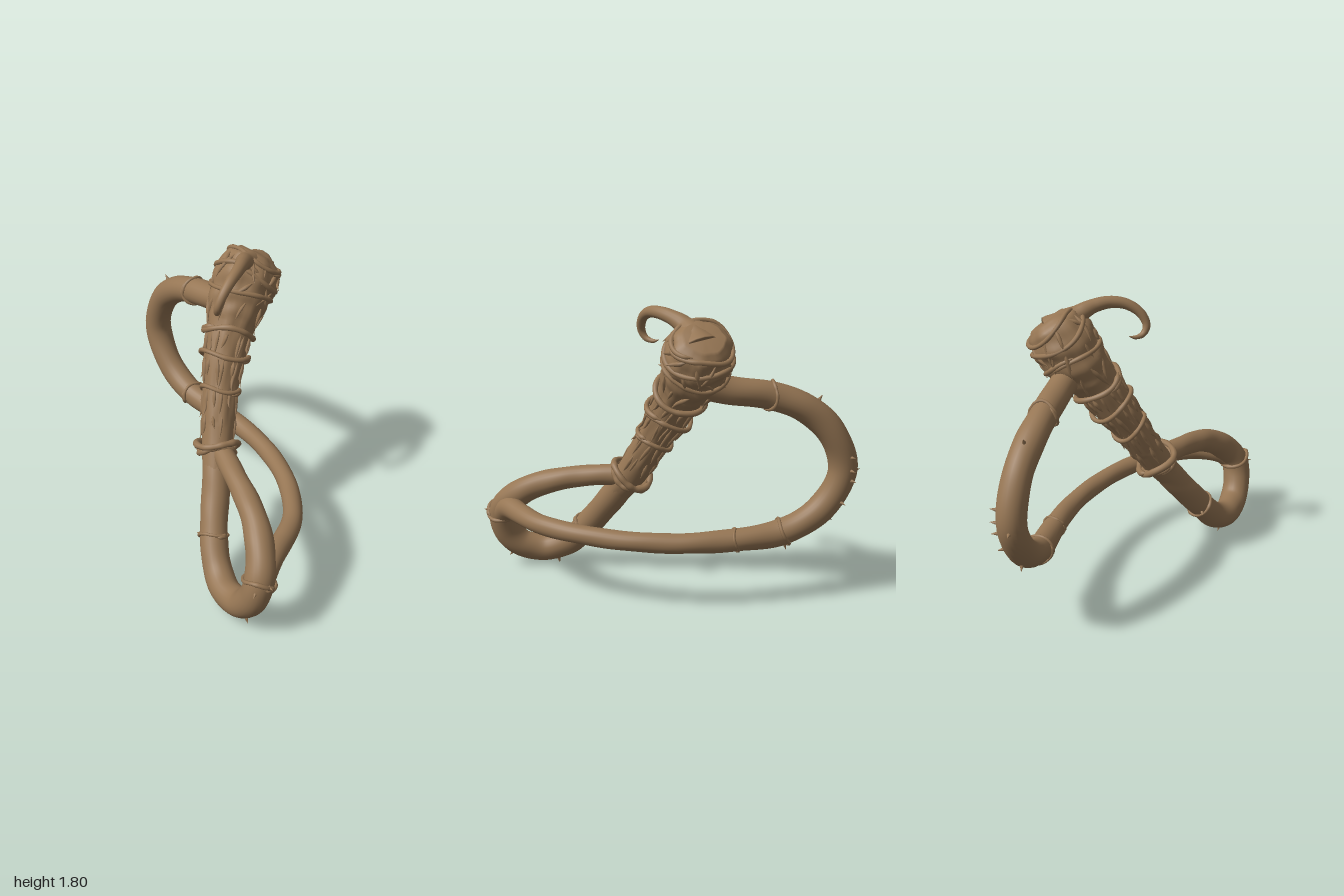
import * as THREE from 'three';

const V = (a) => new THREE.Vector3(a[0], a[1], a[2]);
let seed = 7;
const rnd = () => (seed = (seed * 16807) % 2147483647) / 2147483647;

// A path from [x, y, z, radius] points, sampled by arc length
function makePath(pts) {
  const curve = new THREE.CatmullRomCurve3(pts.map(V), false, 'centripetal');
  const radius = (u) => {
    const t = curve.getUtoTmapping(u) * (pts.length - 1);
    const i = Math.min(Math.floor(t), pts.length - 2), f = t - i;
    return THREE.MathUtils.lerp(pts[i][3], pts[i + 1][3], f * f * (3 - 2 * f) * 0.5 + f * 0.5);
  };
  const nearest = (p) => {
    let best = 0, bd = Infinity;
    for (let i = 0; i <= 200; i++) {
      const d = curve.getPointAt(i / 200).distanceToSquared(p);
      if (d < bd) { bd = d; best = i / 200; }
    }
    return best;
  };
  // Point on the skin at angle a, k times the radius out
  const skin = (u, a, k = 1) => {
    u = Math.min(Math.max(u, 0), 1);
    const t = curve.getTangentAt(u);
    const n = new THREE.Vector3(0, 0, 1).addScaledVector(t, -t.z).normalize();
    const b = t.clone().cross(n);
    return curve.getPointAt(u).addScaledVector(n, Math.cos(a) * radius(u) * k).addScaledVector(b, Math.sin(a) * radius(u) * k);
  };
  return { curve, radius, nearest, skin };
}

// Closed tube of varying radius, with an optional bump rule
function tubeGeometry(path, rings, sides, bump = () => 1) {
  const f = path.curve.computeFrenetFrames(rings, false);
  const pos = [], idx = [];
  for (let r = -1; r <= rings + 1; r++) {
    const i = Math.min(Math.max(r, 0), rings), u = i / rings;
    const c = path.curve.getPointAt(u);
    for (let j = 0; j < sides; j++) {
      const a = (j / sides) * Math.PI * 2;
      const rad = r === i ? path.radius(u) * bump(u, a) : 0.0005;
      const p = c.clone().addScaledVector(f.normals[i], Math.cos(a) * rad).addScaledVector(f.binormals[i], Math.sin(a) * rad);
      pos.push(p.x, p.y, p.z);
    }
  }
  for (let r = 0; r < rings + 2; r++) for (let j = 0; j < sides; j++) {
    const a = r * sides + j, b = r * sides + (j + 1) % sides;
    idx.push(a, b, a + sides, b, b + sides, a + sides);
  }
  const g = new THREE.BufferGeometry();
  g.setAttribute('position', new THREE.Float32BufferAttribute(pos, 3));
  g.setIndex(idx);
  g.computeVertexNormals();
  return g;
}

export function createModel() {
  const model = new THREE.Group();
  const bark = new THREE.MeshStandardMaterial({ color: 0x967654 });
  bark.name = 'bark brown';
  const add = (name, geo) => {
    const m = new THREE.Mesh(geo, bark);
    m.name = name;
    model.add(m);
    return m;
  };
  const strand = (name, pts, rings, sides) => add(name, tubeGeometry(makePath(pts), rings, sides));

  // Thick trunk with a swollen knob at the top
  const trunk = makePath([
    [-0.01, 1.67, -0.53, 0.11], [-0.015, 1.63, -0.5, 0.165], [-0.02, 1.55, -0.44, 0.195], [-0.02, 1.43, -0.36, 0.18],
    [0.01, 1.27, -0.24, 0.135], [0.04, 1.14, -0.16, 0.125], [0.09, 0.97, -0.06, 0.105],
    [0.19, 0.7, 0.09, 0.095], [0.29, 0.48, 0.23, 0.075]]);
  add('trunk', tubeGeometry(trunk, 110, 40, (u, a) =>
    1 + (u < 0.72 ? 0.025 : 0.008) * (Math.sin(a * 7 + u * 9) + 0.7 * Math.sin(a * 11 - u * 23) + (u < 0.3 ? Math.sin(u * 70 + 2 * Math.sin(a * 2)) : 0))));

  // Lower loop that returns to the trunk
  const loop = makePath([
    [0.19, 0.7, 0.09, 0.085], [0.29, 0.48, 0.23, 0.085], [0.39, 0.28, 0.37, 0.083], [0.49, 0.145, 0.46, 0.086], [0.62, 0.092, 0.54, 0.088],
    [0.77, 0.125, 0.585, 0.088], [0.86, 0.235, 0.6, 0.09], [0.885, 0.38, 0.575, 0.088], [0.81, 0.51, 0.48, 0.085],
    [0.67, 0.605, 0.37, 0.075], [0.45, 0.665, 0.24, 0.065], [0.22, 0.69, 0.1, 0.065]]);
  add('lowerLoop', tubeGeometry(loop, 130, 24, (u, a) => 1 + 0.015 * Math.sin(u * 60 + 2 * a)));

  // Long vine sweeping behind and back up to the knob
  const vine = makePath([
    [0.89, 0.36, 0.57, 0.075], [0.87, 0.43, 0.47, 0.075], [0.84, 0.445, 0.3, 0.063], [0.77, 0.44, 0.11, 0.06], [0.62, 0.435, -0.08, 0.058],
    [0.4, 0.425, -0.26, 0.058], [0.1, 0.415, -0.41, 0.06], [-0.22, 0.415, -0.49, 0.068], [-0.53, 0.435, -0.53, 0.08],
    [-0.76, 0.56, -0.57, 0.084], [-0.885, 0.8, -0.6, 0.086], [-0.81, 1.04, -0.58, 0.086], [-0.65, 1.195, -0.53, 0.086],
    [-0.46, 1.275, -0.48, 0.082], [-0.2, 1.325, -0.43, 0.082], [-0.02, 1.38, -0.38, 0.09]]);
  add('longVine', tubeGeometry(vine, 180, 24, (u, a) => 1 + 0.015 * Math.sin(u * 70 + 2 * a)));

  // Curled horn on the knob
  strand('curledHorn', [
    [0, 1.59, -0.47, 0.13], [0.01, 1.655, -0.41, 0.085], [0.035, 1.705, -0.34, 0.053], [0.08, 1.738, -0.26, 0.041], [0.12, 1.748, -0.17, 0.036],
    [0.142, 1.73, -0.08, 0.032], [0.148, 1.675, 0, 0.028], [0.14, 1.605, 0.035, 0.024],
    [0.12, 1.558, 0.018, 0.019], [0.09, 1.545, -0.025, 0.012], [0.07, 1.558, -0.06, 0.003]], 70, 16);

  // Overlapping twisted collars; the ends pass each other
  const collar = (name, path, at, k, thick, tilt = 0.012) => {
    const u = path.nearest(V(at)), s = rnd() * 6, pts = [];
    for (let i = 0; i <= 26; i++) {
      const a = s + (i / 26) * Math.PI * 2.3;
      const p = path.skin(u + tilt * Math.sin(a * 2 + s) + (i / 26 - 0.5) * tilt, a, k + 0.03 * Math.sin(a * 3));
      pts.push([p.x, p.y, p.z, i === 0 || i === 26 ? 0.002 : thick * (0.85 + 0.3 * rnd())]);
    }
    strand(name, pts, 80, 8);
  };
  collar('trunkCollar', trunk, [0.01, 1.27, -0.24], 1.12, 0.017);
  collar('trunkCollar', trunk, [0.04, 1.14, -0.16], 1.15, 0.015);
  collar('trunkCollar', trunk, [0.09, 0.97, -0.06], 1.08, 0.014);
  collar('forkCollar', trunk, [0.18, 0.69, 0.08], 1.32, 0.02);
  collar('forkCollar', trunk, [0.2, 0.67, 0.1], 1.15, 0.018);
  collar('knobFold', trunk, [-0.02, 1.47, -0.39], 1.02, 0.014);
  collar('knobFold', trunk, [-0.02, 1.56, -0.45], 1.0, 0.015, 0.02);
  collar('knobFold', trunk, [-0.015, 1.63, -0.5], 1.02, 0.014, 0.015);
  collar('loopCollar', loop, [0.39, 0.28, 0.37], 1.03, 0.011, 0.004);
  collar('loopCollar', loop, [0.885, 0.37, 0.58], 1.06, 0.013, 0.005);
  collar('vineCollar', vine, [-0.53, 0.435, -0.53], 1.03, 0.01, 0.004);
  collar('vineCollar', vine, [-0.23, 0.415, -0.49], 1.0, 0.008, 0.004);
  collar('vineCollar', vine, [-0.47, 1.275, -0.48], 1.04, 0.01, 0.004);

  // Ragged bark strips hanging down the trunk and knob
  const rows = [[0.04, 0.1, 11], [0.12, 0.09, 12], [0.22, 0.1, 10], [0.35, 0.1, 15], [0.46, 0.11, 15], [0.58, 0.1, 14], [0.69, 0.08, 9]];
  for (const [u0, len, count] of rows) for (let i = 0; i < count; i++) {
    const a = ((i + rnd() * 0.7) / count) * Math.PI * 2, l = len * (0.6 + 0.6 * rnd()), w = 0.009 + 0.006 * rnd();
    const turn = (rnd() - 0.5) * (u0 < 0.3 ? 1.1 : 0.35), lift = rnd() < 0.25 ? 1.15 : 1.03;
    const pts = [0, 0.35, 0.7, 1].map((f, j) => {
      const p = trunk.skin(u0 + l * f, a + turn * f, [0.98, 1.0, 1.01, lift][j]);
      return [p.x, p.y, p.z, [0.005, w, w * 0.8, 0.001][j]];
    });
    strand('barkStrip', pts, 10, 6);
  }

  // Small thorns: position on the path, outward direction
  const thorn = (path, at, dir, h = 0.045) => {
    const d = V(dir).normalize(), u = path.nearest(V(at));
    const base = path.curve.getPointAt(u).addScaledVector(d, path.radius(u) * 0.95);
    const m = add('thorn', new THREE.ConeGeometry(0.014, h, 8));
    m.quaternion.setFromUnitVectors(new THREE.Vector3(0, 1, 0), d);
    m.position.copy(base).addScaledVector(d, h * 0.4);
  };
  for (const [at, dir] of [
    [[-0.885, 0.79, -0.6], [-1, 0, 0]], [[-0.88, 0.76, -0.6], [-0.3, 0, -1]], [[-0.88, 0.82, -0.6], [-0.1, 0.1, -1]],
    [[-0.87, 0.88, -0.6], [-0.2, 0.2, -1]], [[-0.76, 0.56, -0.57], [-0.7, -0.8, 0]], [[-0.68, 1.17, -0.54], [-0.6, 0.8, 0]],
    [[-0.82, 0.65, -0.58], [-0.3, -0.2, -1]], [[-0.53, 0.43, -0.53], [-0.2, -1, -0.2]]]) thorn(vine, at, dir);
  for (const [at, dir] of [
    [[0.78, 0.13, 0.59], [0.6, -0.8, 0.3]], [[0.57, 0.1, 0.51], [-0.2, -1, -0.2]], [[0.885, 0.38, 0.58], [1, 0.1, 0.3]],
    [[0.88, 0.36, 0.58], [0.4, -0.2, 1]], [[0.39, 0.28, 0.37], [-1, -0.2, 0.2]]]) thorn(loop, at, dir);

  return model;
}
